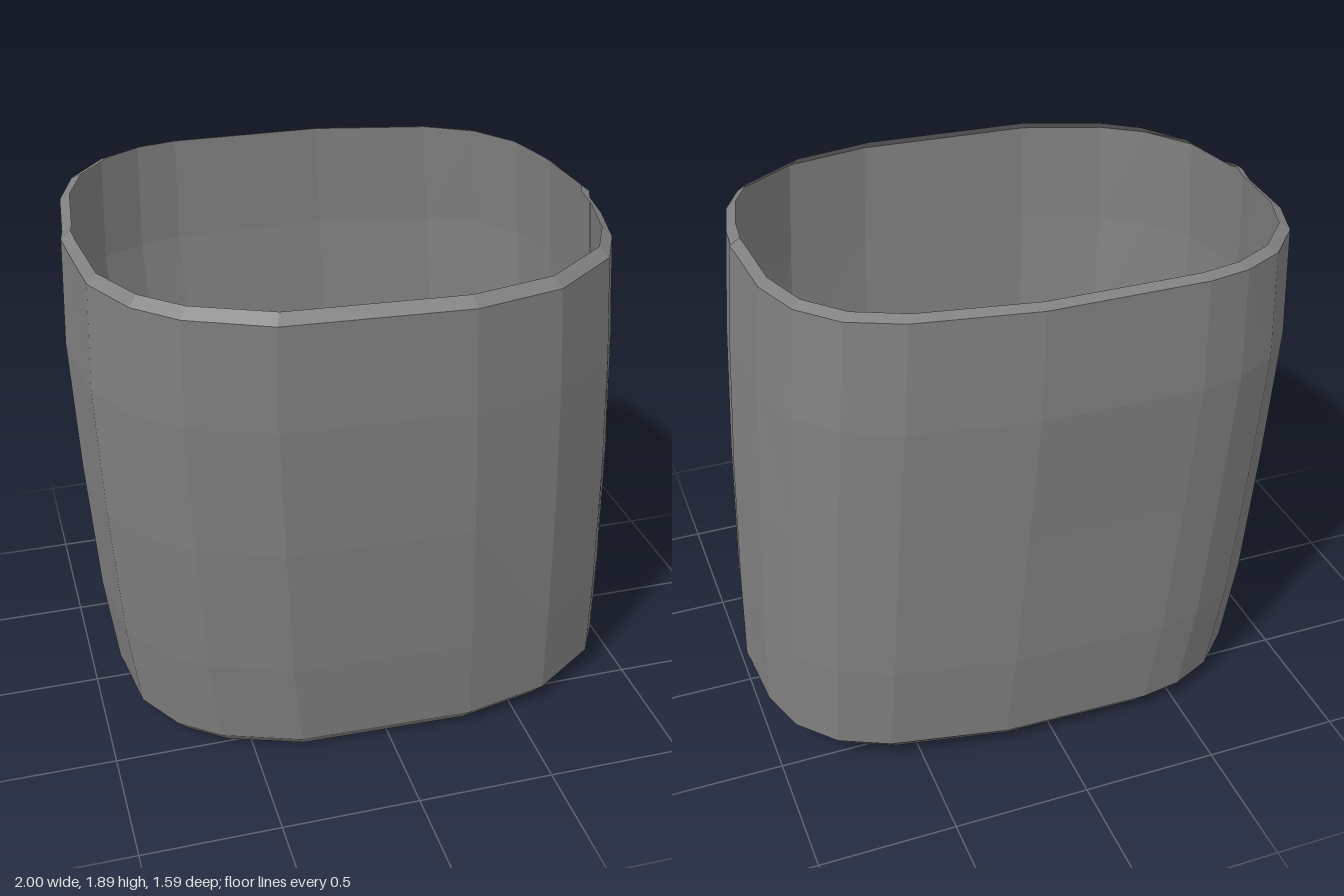
import * as THREE from 'three';

// Plan outline of the sleeve (x, z): left ridge, back, right ridge, front
const OUTLINE = [
  [-0.985, 0], [-0.972, -0.08], [-0.945, -0.35], [-0.88, -0.53], [-0.75, -0.68], [-0.6, -0.76], [-0.45, -0.79],
  [0.11, -0.79], [0.53, -0.71], [0.71, -0.62], [0.83, -0.475], [0.89, -0.275], [0.905, 0], [0.91, 0.05], [0.9, 0.08],
  [0.887, 0.21], [0.845, 0.4], [0.77, 0.55], [0.53, 0.725], [0.22, 0.79], [-0.42, 0.755],
  [-0.7, 0.64], [-0.84, 0.52], [-0.945, 0.33], [-0.975, 0.07],
].map(([x, z]) => [(x + 0.0375) / 0.9475, z / 0.79]);

// Extents by height fraction: t, xMin, xMax, zMin, zMax
const LEVELS = [
  [0, -0.9, 1.0, -0.70, 0.655],
  [0.2, -0.945, 0.992, -0.735, 0.70],
  [0.5, -0.98, 0.97, -0.765, 0.75],
  [0.78, -1.0, 0.94, -0.795, 0.785],
  [1, -0.985, 0.905, -0.785, 0.797],
];

// Wavy lower edge, and an upper edge rising to the back with a small bump at each ridge
const bottomY = (u, v) => 0.075 + 0.02 * u - 0.015 * v + 0.03 * (1 - v * v);
const topY = (u, v) => 1.84 - 0.045 * v + (Math.abs(u) > 0.97 && Math.abs(v) < 0.07 ? 0.012 : 0);

// One closed ring of points, inset from the level's extents and lifted by a rule
function ring([t, x0, x1, z0, z1], inset = 0, lift = () => 0) {
  return OUTLINE.map(([u, v]) => new THREE.Vector3(
    (x0 + x1) / 2 + u * ((x1 - x0) / 2 - inset),
    THREE.MathUtils.lerp(bottomY(u, v), topY(u, v), t) + lift(v),
    (z0 + z1) / 2 + v * ((z1 - z0) / 2 - inset),
  ));
}

// Faceted skin through consecutive rings
function skin(name, rings, material) {
  const points = [];
  for (let k = 0; k < rings.length - 1; k++) {
    const low = rings[k], high = rings[k + 1];
    low.forEach((a, i) => {
      const j = (i + 1) % low.length;
      points.push(a, high[i], high[j], a, high[j], low[j]);
    });
  }
  const geometry = new THREE.BufferGeometry().setFromPoints(points);
  geometry.computeVertexNormals();
  const mesh = new THREE.Mesh(geometry, material);
  mesh.name = name;
  return mesh;
}

export function createModel() {
  // The sleeve is a thin open shell, seen from both sides
  const grey = new THREE.MeshStandardMaterial({ color: 0x808080, side: THREE.DoubleSide });
  grey.name = 'midGrey';

  const wall = LEVELS.map((level) => ring(level));
  const topLip = ring(LEVELS[4], 0.035, (v) => 0.025 + 0.01 * v);
  const bottomLip = ring(LEVELS[0], 0.042, () => -0.05);

  const group = new THREE.Group();
  group.name = 'sleeve';
  group.add(
    skin('wall', wall, grey),
    skin('topRim', [wall[4], topLip], grey),
    skin('bottomRim', [bottomLip, wall[0]], grey),
  );
  return group;
}
